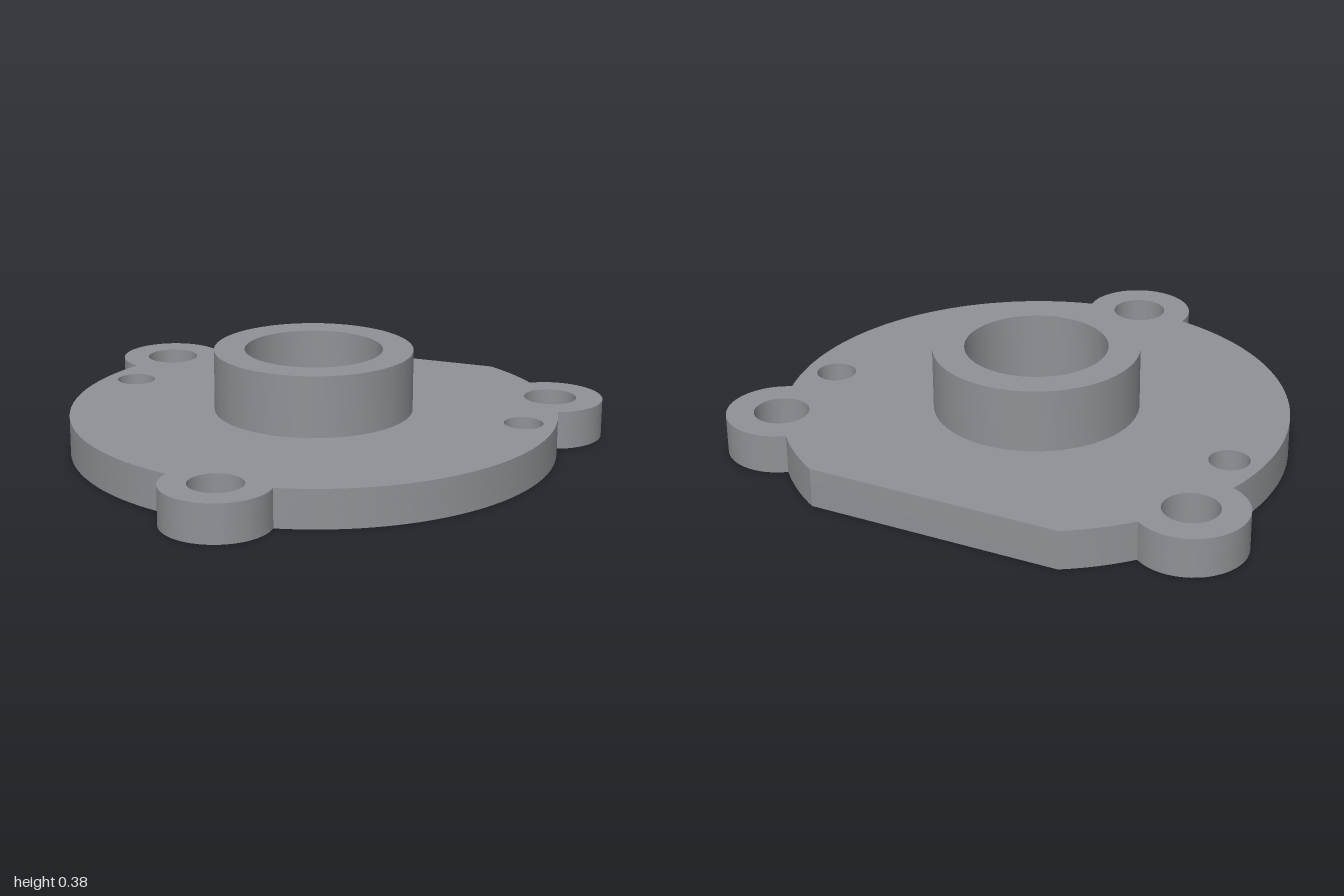
import * as THREE from 'three';
import { toCreasedNormals } from 'three/addons/utils/BufferGeometryUtils.js';

const PLATE_R = 0.92, LUG_R = 0.2, LUG_DIST = 0.925, LUG_HOLE = 0.1;
const BORE = 0.26, BOSS_R = 0.375, RECESS_R = 0.725;
const RECESS_TOP = 0.1, PLATE_TOP = 0.145, BOSS_TOP = 0.377;
const FLAT = 0.79;                       // distance of the rear flat from the bore axis
const LUG_ANGLES = [-Math.PI / 2, Math.PI / 6, Math.PI * 5 / 6];

// Points along an arc, optionally without its two ends
function arc(cx, cy, r, from, to, n, ends = true) {
  const pts = [];
  for (let i = ends ? 0 : 1; i <= (ends ? n : n - 1); i++) {
    const t = from + (to - from) * i / n;
    pts.push(new THREE.Vector2(cx + r * Math.cos(t), cy + r * Math.sin(t)));
  }
  return pts;
}

// Round plate with three lugs and a flat at the rear
function outline() {
  const a = Math.acos((PLATE_R ** 2 + LUG_DIST ** 2 - LUG_R ** 2) / (2 * PLATE_R * LUG_DIST));
  const b = Math.PI - Math.acos((LUG_DIST ** 2 + LUG_R ** 2 - PLATE_R ** 2) / (2 * LUG_DIST * LUG_R));
  const f = Math.asin(FLAT / PLATE_R);
  const pts = [];
  LUG_ANGLES.forEach((t, i) => {
    pts.push(...arc(LUG_DIST * Math.cos(t), LUG_DIST * Math.sin(t), LUG_R, t - b, t + b, 32));
    const start = t + a, end = t + Math.PI * 2 / 3 - a;
    if (i === 1) {
      pts.push(...arc(0, 0, PLATE_R, start, f, 10).slice(1));
      pts.push(...arc(0, 0, PLATE_R, Math.PI - f, end, 10).slice(0, -1));
    } else {
      pts.push(...arc(0, 0, PLATE_R, start, end, 36, false));
    }
  });
  return new THREE.Shape(pts);
}

function addHole(shape, x, y, r) {
  shape.holes.push(new THREE.Path(arc(x, y, r, 0, -Math.PI * 2, 64).slice(0, -1)));
}

// Five bolt and pin holes through the plate
function addBoltHoles(shape) {
  for (const t of LUG_ANGLES) addHole(shape, LUG_DIST * Math.cos(t), LUG_DIST * Math.sin(t), LUG_HOLE);
  for (const s of [-1, 1]) addHole(shape, s * 0.793, 0.1, 0.073);
}

export function createModel() {
  const group = new THREE.Group();
  group.name = 'flangeCover';
  const metal = new THREE.MeshStandardMaterial({ color: 0x8f9196 });
  metal.name = 'grey metal';

  const addLayer = (name, shape, bottom, top) => {
    let geo = new THREE.ExtrudeGeometry(shape, { depth: top - bottom, bevelEnabled: false });
    geo.rotateX(-Math.PI / 2);
    geo = toCreasedNormals(geo, 0.5);
    const mesh = new THREE.Mesh(geo, metal);
    mesh.name = name;
    mesh.position.set(0, bottom, -0.168);
    group.add(mesh);
  };

  // Lower rim around the round recess
  const rim = outline();
  addHole(rim, 0, 0, RECESS_R - 0.005);
  addBoltHoles(rim);
  addLayer('recessedRim', rim, 0, RECESS_TOP);

  // Plate closing the recess
  const plate = outline();
  addHole(plate, 0, 0, BORE);
  addBoltHoles(plate);
  addLayer('topPlate', plate, RECESS_TOP, PLATE_TOP);

  // Raised collar around the bore
  const boss = new THREE.Shape(arc(0, 0, BOSS_R, 0, Math.PI * 2, 96).slice(0, -1));
  addHole(boss, 0, 0, BORE);
  addLayer('boreCollar', boss, PLATE_TOP, BOSS_TOP);

  return group;
}
